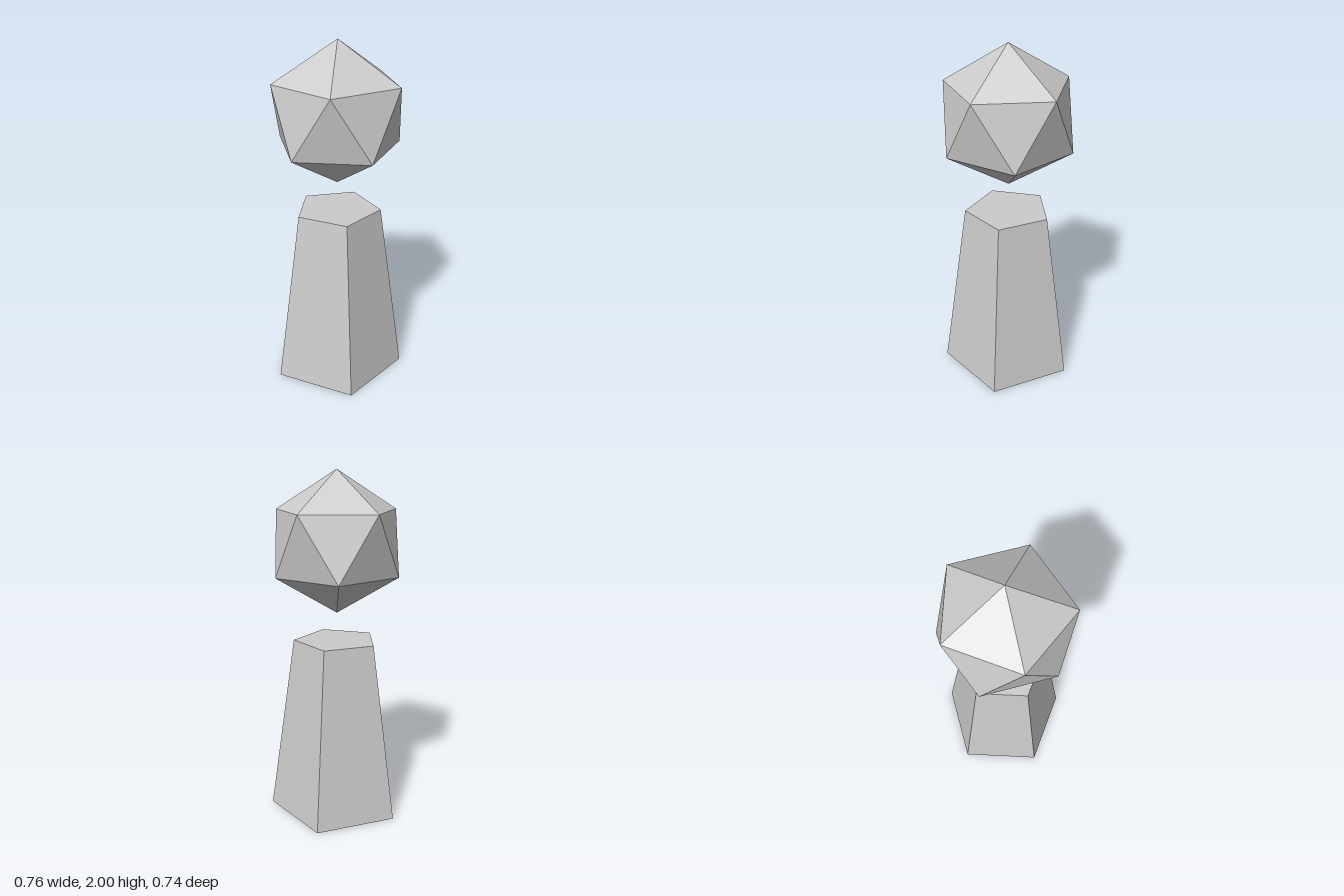
import * as THREE from 'three';

export function createModel() {
  const group = new THREE.Group();
  const material = new THREE.MeshStandardMaterial({ color: 0xcccccc, flatShading: true });
  const centreZ = 0.03;

  const add = (name, geometry, y) => {
    const mesh = new THREE.Mesh(geometry, material);
    mesh.name = name;
    mesh.position.set(0, y, centreZ);
    group.add(mesh);
  };

  // Tapered five-sided pedestal, one corner pointing to the back
  const height = 1.04;
  add('pedestal', new THREE.CylinderGeometry(0.25, 0.4, height, 5).rotateY(Math.PI), height / 2);

  // Floating twenty-sided gem, tilted to stand on a corner
  const phi = (1 + Math.sqrt(5)) / 2;
  add('gem', new THREE.IcosahedronGeometry(0.4).rotateZ(-Math.atan(1 / phi)), 1.6);

  return group;
}
